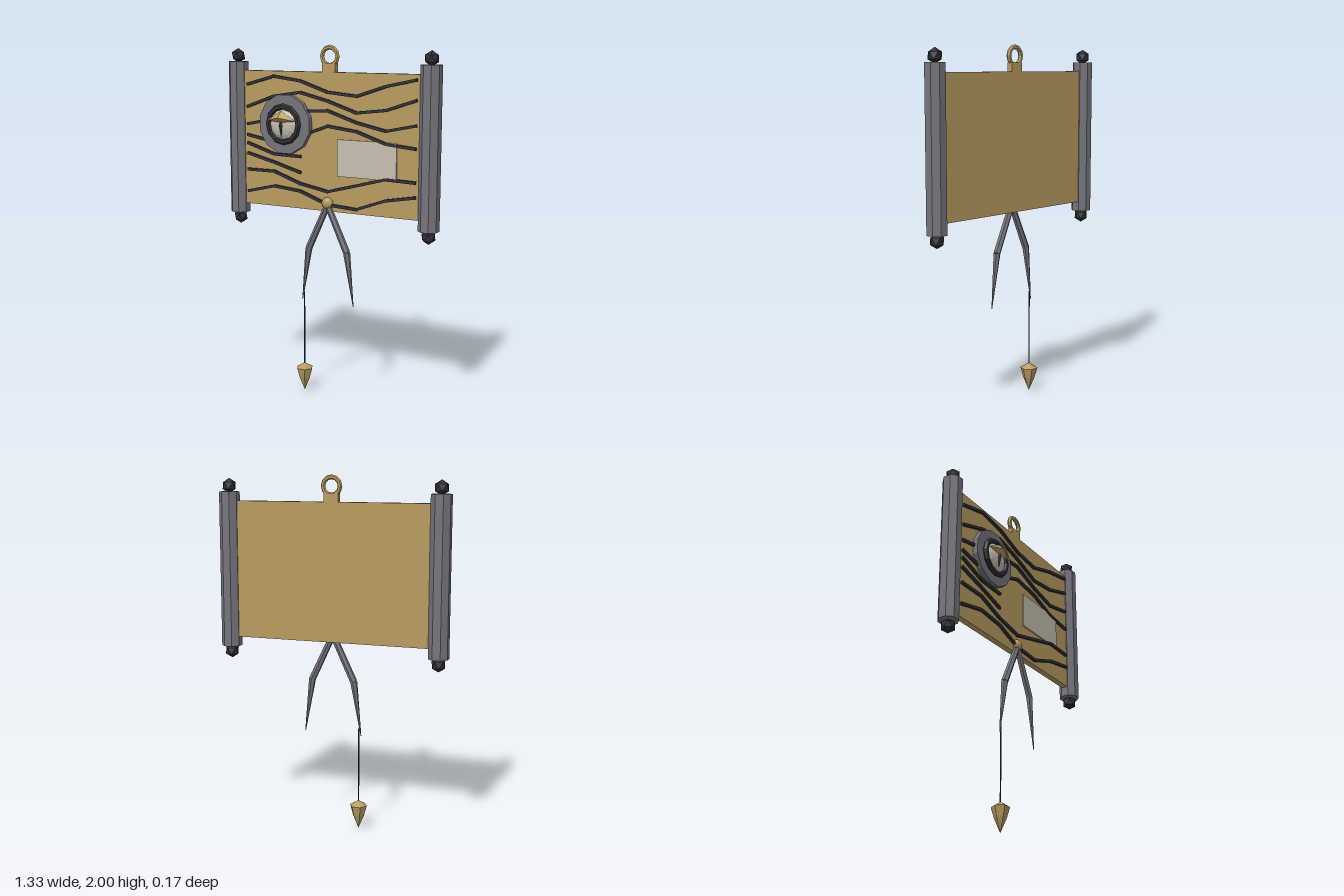
import * as THREE from 'three';

export function createModel() {
  const root = new THREE.Group();
  const mat = (name, color) => {
    const m = new THREE.MeshStandardMaterial({ color, flatShading: true });
    m.name = name;
    return m;
  };
  const tan = mat('parchment brass', 0xb89c60);
  const steel = mat('grey steel', 0x74747c);
  const dark = mat('dark iron', 0x303136);
  const bone = mat('pale bone', 0xc6c0b0);

  const add = (name, geo, material, x = 0, y = 0, z = 0, parent = root) => {
    const m = new THREE.Mesh(geo, material);
    m.name = name;
    m.position.set(x, y, z);
    parent.add(m);
    return m;
  };

  // Tapered rod between two points
  const rod = (name, a, b, ra, rb, sides, material, parent = root) => {
    const d = b.clone().sub(a);
    const m = add(name, new THREE.CylinderGeometry(rb, ra, d.length(), sides), material, 0, 0, 0, parent);
    m.position.copy(a).addScaledVector(d, 0.5);
    m.quaternion.setFromUnitVectors(new THREE.Vector3(0, 1, 0), d.normalize());
    return m;
  };
  const V = (x, y, z) => new THREE.Vector3(x, y, z);

  // Sheet between the rollers
  const BACK = -0.032;
  add('sheet', new THREE.BoxGeometry(1.14, 0.772, 0.036), tan, 0, 1.469, BACK);

  // Side rollers with faceted end knobs
  for (const s of [-1, 1]) {
    const roller = new THREE.CylinderGeometry(0.058, 0.058, 0.877, 8).rotateY(Math.PI / 8);
    add('roller', roller, steel, s * 0.613, 1.466, BACK);
    for (const y of [1.937, 0.997]) {
      const knob = new THREE.IcosahedronGeometry(0.042, 0).rotateZ(-0.5536);
      add('rollerKnob', knob, dark, s * 0.613, y, BACK);
    }
  }

  // Hanger
  add('hangerTab', new THREE.BoxGeometry(0.084, 0.07, 0.03), tan, 0, 1.868, BACK);
  add('hangerRing', new THREE.TorusGeometry(0.049, 0.013, 6, 12), tan, 0, 1.94, BACK);

  // Wavy grain lines, heights at evenly spaced columns
  const columns = [-0.535, -0.355, -0.18, 0, 0.183, 0.363, 0.54];
  const grain = [
    [1.777, 1.825, 1.804, 1.746, 1.73, 1.788, 1.825],
    [1.65, 1.714, 1.74, 1.698, 1.64, 1.661, 1.719],
    [1.55, 1.585, 1.635, 1.645, 1.587, 1.55, 1.587],
    [1.486, 1.455, 1.497, 1.56, 1.539, 1.481, 1.465],
    [1.439, 1.385, 1.38],
    [1.38, 1.338, 1.29],
    [1.285, 1.285, 1.227, 1.195, 1.242, 1.29, 1.285],
    [1.158, 1.2, 1.184, 1.121, 1.11, 1.174, 1.205],
  ];
  const grainGroup = new THREE.Group();
  grainGroup.name = 'grainLines';
  root.add(grainGroup);
  for (const ys of grain) {
    for (let i = 0; i + 1 < ys.length; i++) {
      const dx = columns[i + 1] - columns[i], dy = ys[i + 1] - ys[i];
      const bar = add('grainLine', new THREE.BoxGeometry(Math.hypot(dx, dy) + 0.008, 0.016, 0.016), dark,
        columns[i] + dx / 2, ys[i] + dy / 2, -0.008, grainGroup);
      bar.rotation.z = Math.atan2(dy, dx);
    }
  }

  // Pale label plate
  add('labelPlate', new THREE.BoxGeometry(0.365, 0.205, 0.009), bone, 0.246, 1.388, -0.01);

  // Eye ornament
  const eye = new THREE.Group();
  eye.name = 'eye';
  eye.position.set(-0.27, 1.56, 0);
  root.add(eye);
  const disc = new THREE.CylinderGeometry(0.17, 0.17, 0.034, 12).rotateY(Math.PI / 12).rotateX(Math.PI / 2);
  add('eyeDisc', disc, steel, 0, 0, 0, eye);
  add('eyeRing', new THREE.TorusGeometry(0.1, 0.017, 6, 12), dark, 0, 0, 0.025, eye);
  const ball = new THREE.SphereGeometry(0.09, 12, 8).rotateX(Math.PI / 2).scale(1, 1, 0.4);
  add('eyeball', ball, bone, 0, 0, 0.016, eye);
  add('pupil', new THREE.OctahedronGeometry(1).scale(0.016, 0.065, 0.014), dark, 0, -0.005, 0.047, eye);

  // Pointed eyelid: diamond base rising to a front apex
  const lid = new THREE.BufferGeometry();
  lid.setAttribute('position', new THREE.Float32BufferAttribute([
    0.095, 0.022, 0.047, 0, 0.078, 0.047, -0.095, 0.022, 0.047, 0, 0.012, 0.05, 0, 0.04, 0.082,
  ], 3));
  lid.setIndex([0, 1, 4, 1, 2, 4, 2, 3, 4, 3, 0, 4, 0, 2, 1, 0, 3, 2]);
  lid.computeVertexNormals();
  add('eyelid', lid, tan, 0, 0, 0, eye);

  // Divider: pivot and two bent tapering legs
  const Z = -0.009;
  add('pivot', new THREE.IcosahedronGeometry(0.035, 1).scale(1, 1, 0.8), tan, 0, 1.13, Z);
  for (const s of [-1, 1]) {
    const leg = new THREE.Group();
    leg.name = 'dividerLeg';
    root.add(leg);
    const top = V(0, 1.12, Z), knee = V(s * 0.124, 0.86, Z), tip = V(s * 0.168, 0.552, Z);
    rod('upperLeg', top, knee, 0.018, 0.02, 6, steel, leg);
    rod('lowerLeg', knee, tip, 0.02, 0.002, 6, steel, leg);
  }

  // Plumb line and bob
  rod('plumbLine', V(-0.155, 0.15, Z), V(-0.155, 0.6, Z), 0.004, 0.004, 5, dark);
  const bobProfile = [[0, 0.005], [0.034, 0.085], [0.05, 0.142], [0, 0.172]].map(p => new THREE.Vector2(...p));
  add('plumbBob', new THREE.LatheGeometry(bobProfile, 6).rotateY(Math.PI / 6), tan, -0.155, 0, Z);

  return root;
}
